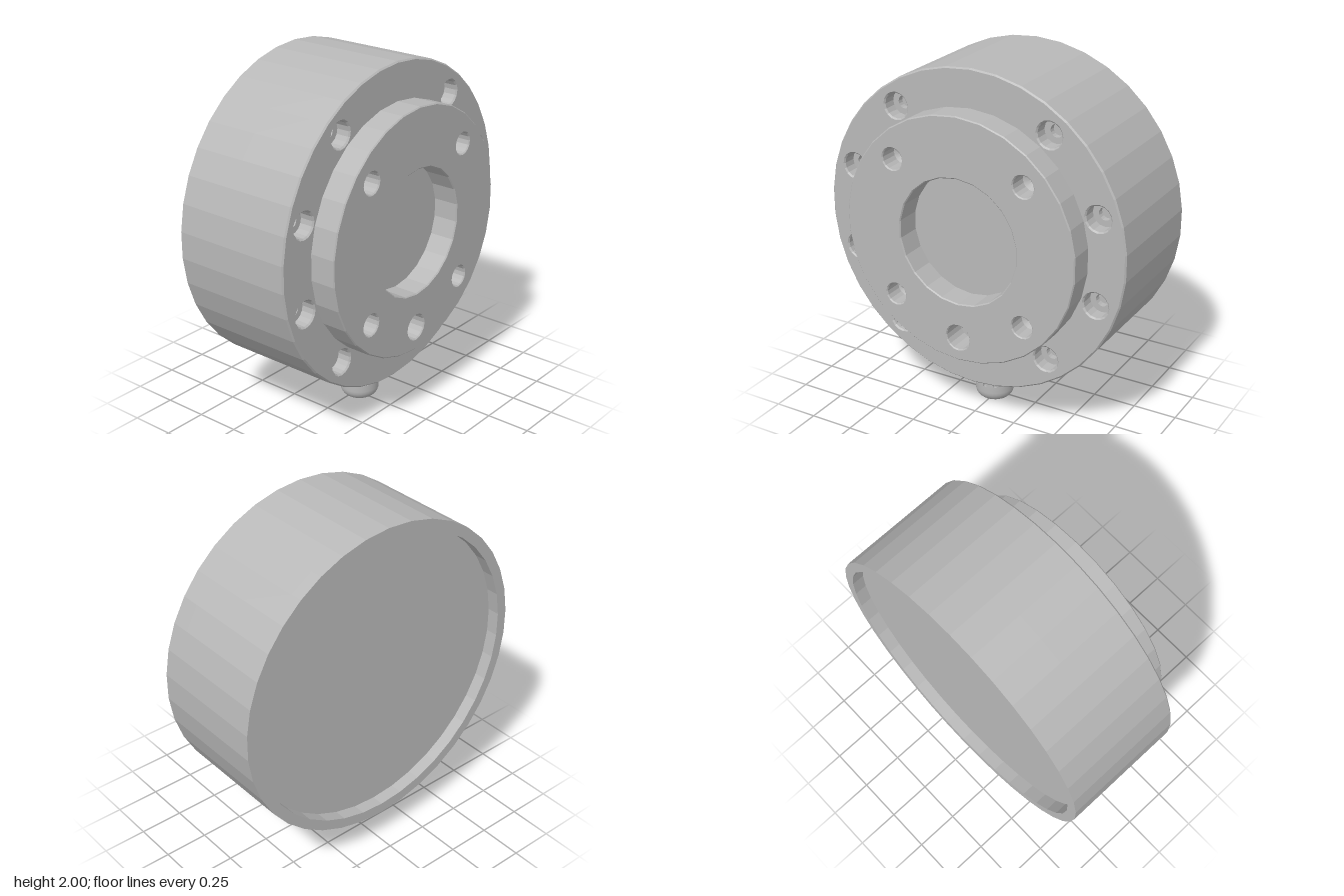
import * as THREE from 'three';

const CY = 1.1; // height of the drum axis

const grey = new THREE.MeshStandardMaterial({ color: 0xb8b8b8, side: THREE.DoubleSide });
grey.name = 'machined grey';

// Regular polygon with a vertex at the top, optionally cut flat at the bottom
function ring(radius, sides, x = 0, y = 0, flat = -Infinity) {
  return Array.from({ length: sides }, (_, i) => {
    const a = Math.PI / 2 + (i / sides) * Math.PI * 2;
    return new THREE.Vector2(x + radius * Math.cos(a), Math.max(y + radius * Math.sin(a), flat));
  });
}

// Slab along z between z0 and z1; a bevel chamfers the front edges,
// its hidden back bevel sinks below z0 into the next slab
function slab(name, outline, holes, z0, z1, bevel = 0) {
  const shape = new THREE.Shape(outline);
  shape.holes = holes.map((h) => new THREE.Path(h));
  const geo = new THREE.ExtrudeGeometry(shape, {
    depth: z1 - z0 - bevel,
    bevelEnabled: bevel > 0,
    bevelSegments: 1,
    bevelSize: bevel,
    bevelThickness: bevel,
    bevelOffset: -bevel,
  });
  geo.translate(0, CY, z0);
  const mesh = new THREE.Mesh(geo, grey);
  mesh.name = name;
  return mesh;
}

function cableGland() {
  const gland = new THREE.Group();
  gland.name = 'cableGland';
  const add = (name, geo) => {
    const mesh = new THREE.Mesh(geo, grey);
    mesh.name = name;
    gland.add(mesh);
    return mesh;
  };
  // Rounded cap at the bottom
  const profile = [[0, 0], [0.055, 0]];
  for (let i = 1; i <= 6; i++) {
    const a = (i / 6) * Math.PI / 2;
    profile.push([0.055 + 0.055 * Math.sin(a), 0.06 - 0.06 * Math.cos(a)]);
  }
  profile.push([0.11, 0.1]);
  add('glandCap', new THREE.LatheGeometry(profile.map((p) => new THREE.Vector2(...p)), 32));
  add('glandCollar', new THREE.CylinderGeometry(0.11, 0.11, 0.09, 32).translate(0, 0.22, 0));
  add('glandCore', new THREE.CylinderGeometry(0.102, 0.102, 0.08, 32).translate(0, 0.137, 0));
  add('glandCapTop', new THREE.RingGeometry(0.09, 0.11, 32).rotateX(-Math.PI / 2).translate(0, 0.1, 0));
  // Grip ribs
  for (let i = 0; i < 12; i++) {
    const rib = add('gripRib', new THREE.BoxGeometry(0.036, 0.076, 0.02).translate(0, 0.138, 0.103));
    rib.rotation.y = ((i + 0.5) / 12) * Math.PI * 2;
  }
  gland.position.z = 0.027;
  return gland;
}

export function createModel() {
  const model = new THREE.Group();
  model.name = 'flangedDrum';

  // Eight screw positions: ten even steps, without top and bottom
  const screws = [];
  for (let i = 0; i < 10; i++) {
    if (i === 2 || i === 7) continue;
    const a = ((18 + 36 * i) * Math.PI) / 180;
    screws.push([0.775 * Math.cos(a), 0.775 * Math.sin(a)]);
  }
  const screwHoles = (r) => screws.map(([x, y]) => ring(r, 16, x, y));
  const drum = (flat) => ring(0.9, 38, 0, 0, flat);

  // Drum, front to back
  model.add(slab('frontPlate', drum(), screwHoles(0.07), 0.195, 0.275, 0.008));
  model.add(slab('screwSeat', drum(), screwHoles(0.036), 0.16, 0.195));
  model.add(slab('slottedMiddle', drum(-0.86), [], -0.11, 0.16));
  model.add(slab('rearBody', drum(), [], -0.35, -0.11));
  model.add(slab('rearRim', drum(), [ring(0.84, 38)], -0.42, -0.35));

  // Raised boss with centre bore, four drilled holes and one plain hole
  const drilled = [[1, 1], [-1, 1], [-1, -1], [1, -1]].map(([x, y]) => [x * 0.39, y * 0.39]);
  const bossHoles = [
    ring(0.354, 22),
    ring(0.071, 16, 0, -0.555),
    ...drilled.map(([x, y]) => ring(0.06, 16, x, y)),
  ];
  model.add(slab('boss', ring(0.69, 30), bossHoles, 0.275, 0.42, 0.006));

  // Conical bottoms of the drilled holes
  for (const [x, y] of drilled) {
    const cone = new THREE.Mesh(new THREE.ConeGeometry(0.061, 0.036, 16, 1, true), grey);
    cone.name = 'drillPoint';
    cone.rotation.x = -Math.PI / 2;
    cone.position.set(x, CY + y, 0.296);
    model.add(cone);
  }

  model.add(cableGland());
  return model;
}
